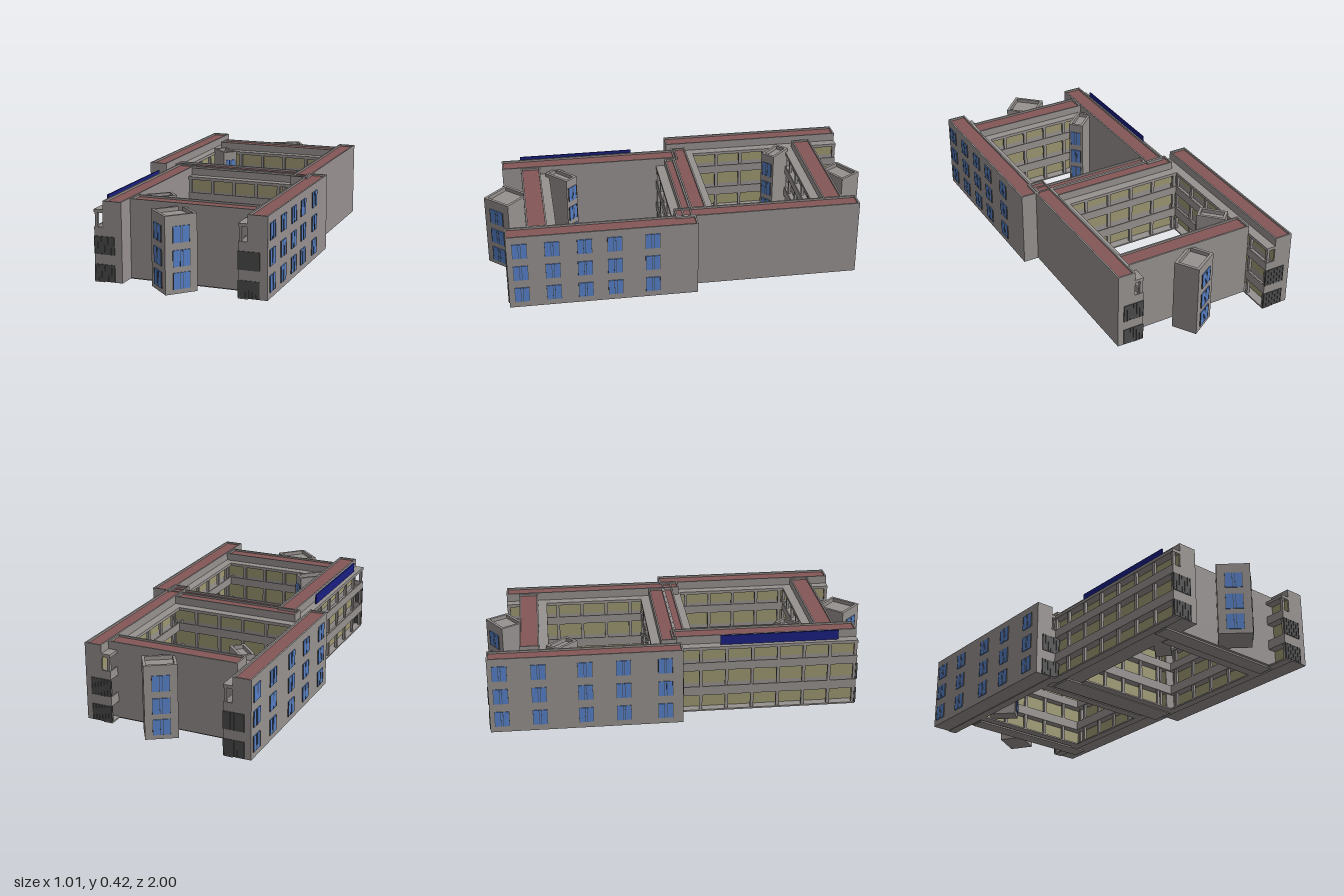
import * as THREE from 'three';

const mat = (color) => new THREE.MeshStandardMaterial({ color });
const GREY = mat(0x96918f), RED = mat(0x835656), CREAM = mat(0x9c9770);
const GLASS = mat(0x5580c8), DARK = mat(0x4c4c4c), NAVY = mat(0x1a1f80);

const FLOORS = [[0.01, 0.095], [0.145, 0.235], [0.28, 0.35]]; // gallery openings
const WINDOW_Y = [0.08, 0.205, 0.33];
const G = 0.047; // gallery depth

// Box given by its min and max on each axis
function box(parent, name, material, x0, x1, y0, y1, z0, z1) {
  const m = new THREE.Mesh(new THREE.BoxGeometry(x1 - x0, y1 - y0, z1 - z0), material);
  m.position.set((x0 + x1) / 2, (y0 + y1) / 2, (z0 + z1) / 2);
  m.name = name;
  parent.add(m);
  return m;
}

// Flat roof sunk behind a parapet rim
function rimmedRoof(parent, x0, x1, z0, z1, top, material, t = 0.008, drop = 0.01) {
  box(parent, 'roofSurface', material, x0 + t, x1 - t, top - drop - 0.005, top - drop, z0 + t, z1 - t);
  box(parent, 'roofParapet', GREY, x0, x1, top - drop - 0.005, top, z0, z0 + t);
  box(parent, 'roofParapet', GREY, x0, x1, top - drop - 0.005, top, z1 - t, z1);
  box(parent, 'roofParapet', GREY, x0, x0 + t, top - drop - 0.005, top, z0 + t, z1 - t);
  box(parent, 'roofParapet', GREY, x1 - t, x1, top - drop - 0.005, top, z0 + t, z1 - t);
}

// Double window facing +z, placed on a wall and turned by angle
function windowUnit(parent, x, y, z, angle, w = 0.072, h = 0.08) {
  const g = new THREE.Group();
  g.name = 'window';
  box(g, 'glass', GLASS, -w / 2, w / 2, -h / 2, h / 2, -0.004, 0.004);
  for (const s of [-0.5, -0.08, 0.08, 0.5])
    box(g, 'mullion', DARK, s * w - 0.0012, s * w + 0.0012, -h / 2, h / 2, -0.003, 0.005);
  g.position.set(x, y, z);
  g.rotation.y = angle;
  parent.add(g);
}

// Barred openings at the end of a wing, s = -1 or +1 along its length
function endGrille(parent, L, s) {
  const x = s * L / 2;
  for (const [y0, y1] of FLOORS.slice(0, 2)) {
    box(parent, 'endGrille', DARK, x - 0.003, x + 0.003, y0, y1, -0.06, G);
    for (let i = 0; i <= 6; i++) {
      const z = -0.058 + i * (G + 0.056) / 6;
      box(parent, 'grilleBar', DARK, x - 0.005, x + 0.005, y0, y1, z - 0.002, z + 0.002);
    }
  }
}

// Three-storey block: length along local x, body behind z = 0, open gallery in front
function block(root, { name, pos, angle, L, D, top = 0.41, ends = [], windows = [] }) {
  const g = new THREE.Group();
  g.name = name;
  g.position.set(pos[0], 0, pos[1]);
  g.rotation.y = angle;
  const h = L / 2;
  box(g, 'body', GREY, -h, h, 0.008, top - 0.015, -D, 0);
  rimmedRoof(g, -h, h, -D, 0, top, RED);

  // gallery floors, parapets and roof
  box(g, 'groundSlab', GREY, -h, h, 0.004, 0.012, 0, G);
  for (let i = 0; i < 2; i++) {
    const y0 = FLOORS[i][1], y1 = FLOORS[i + 1][0];
    box(g, 'gallerySlab', GREY, -h, h, y0, y0 + 0.012, 0, G);
    box(g, 'galleryParapet', GREY, -h, h, y0, y1, G - 0.006, G);
    for (const s of [-1, 1])
      box(g, 'parapetReturn', GREY, s * (h - 0.003) - 0.003, s * (h - 0.003) + 0.003, y0, y1, 0, G - 0.006);
  }
  box(g, 'galleryRoof', GREY, -h, h, 0.35, 0.366, 0, G);

  // recessed cream walls and the columns in front of them
  const n = Math.round(L / 0.14);
  for (const [y0, y1] of FLOORS) {
    box(g, 'galleryWall', CREAM, -h + 0.004, h - 0.004, y0, y1, 0, 0.003);
    for (let i = 0; i <= n; i++) {
      const x = -h + 0.01 + i * (L - 0.02) / n;
      box(g, 'column', GREY, x - 0.008, x + 0.008, y0, y1, G - 0.018, G - 0.004);
    }
  }
  for (const s of ends) endGrille(g, L, s);
  for (const x of windows) for (const y of WINDOW_Y) windowUnit(g, x, y, -D, Math.PI);
  root.add(g);
}

// Turned stair tower; faces lists the local directions that carry windows
function tower(root, { name, x, z, w, d, angle, top, faces }) {
  const g = new THREE.Group();
  g.name = name;
  g.position.set(x, 0, z);
  g.rotation.y = angle;
  box(g, 'towerBody', GREY, -w / 2, w / 2, 0.01, top - 0.025, -d / 2, d / 2);
  rimmedRoof(g, -w / 2, w / 2, -d / 2, d / 2, top, GREY, 0.014, 0.02);
  for (const a of faces) {
    const sx = Math.round(Math.sin(a)), sz = Math.round(Math.cos(a));
    const faceWidth = sx ? d : w;
    for (const y of [0.073, 0.182, 0.298])
      windowUnit(g, sx * w / 2, y, sz * d / 2, a, Math.min(0.085, faceWidth * 0.7));
  }
  root.add(g);
}

export function createModel() {
  const root = new THREE.Group();
  root.name = 'building';
  const Q = Math.PI / 2;

  // four long wings
  block(root, { name: 'frontRightWing', pos: [-0.338, 0.4175], angle: -Q, L: 0.955, D: 0.098, ends: [1] });
  block(root, {
    name: 'frontLeftWing', pos: [0.402, 0.4275], angle: -Q, L: 0.955, D: 0.098, ends: [1],
    windows: [0.84, 0.68, 0.52, 0.37, 0.18].map((z) => z - 0.4275),
  });
  block(root, {
    name: 'backRightWing', pos: [-0.406, -0.505], angle: Q, L: 0.97, D: 0.094, ends: [-1, 1],
    windows: [-0.93, -0.74, -0.51, -0.32, -0.11].map((z) => -(z + 0.505)),
  });
  block(root, { name: 'backLeftWing', pos: [0.33, -0.425], angle: -Q, L: 0.95, D: 0.09, ends: [-1] });

  // cross blocks that close the two courtyards
  block(root, { name: 'frontBlock', pos: [0.08, 0.694], angle: Math.PI, L: 0.64, D: 0.101, top: 0.407 });
  block(root, { name: 'backBlock', pos: [-0.015, -0.73], angle: 0, L: 0.69, D: 0.1, top: 0.407 });
  block(root, { name: 'middleBackBlock', pos: [-0.015, -0.118], angle: Math.PI, L: 0.69, D: 0.08, top: 0.407 });
  block(root, { name: 'middleFrontBlock', pos: [0.08, 0.013], angle: 0, L: 0.64, D: 0.05, top: 0.404 });

  // outer and courtyard stair towers
  tower(root, { name: 'frontTower', x: 0.027, z: 0.882, w: 0.164, d: 0.166, angle: 0.81, top: 0.39, faces: [0, -Q] });
  tower(root, { name: 'backTower', x: 0.01, z: -0.907, w: 0.161, d: 0.13, angle: 0.56, top: 0.39, faces: [Math.PI] });
  tower(root, { name: 'frontCourtTower', x: -0.178, z: 0.585, w: 0.155, d: 0.08, angle: 0.75, top: 0.385, faces: [Q] });
  tower(root, { name: 'backCourtTower', x: -0.287, z: -0.617, w: 0.145, d: 0.08, angle: -0.8, top: 0.385, faces: [Q] });

  // plain board on the outer gallery roof, and thin footings under the blocks
  box(root, 'roofBoard', NAVY, -0.362, -0.355, 0.366, 0.417, 0.185, 0.795);
  for (const [x0, x1, z0, z1] of [[-0.33, 0.38, 0.7, 0.78], [-0.33, 0.38, -0.1, 0.02], [-0.35, 0.38, -0.82, -0.74]])
    box(root, 'footing', GREY, x0, x1, 0, 0.009, z0, z1);
  return root;
}
